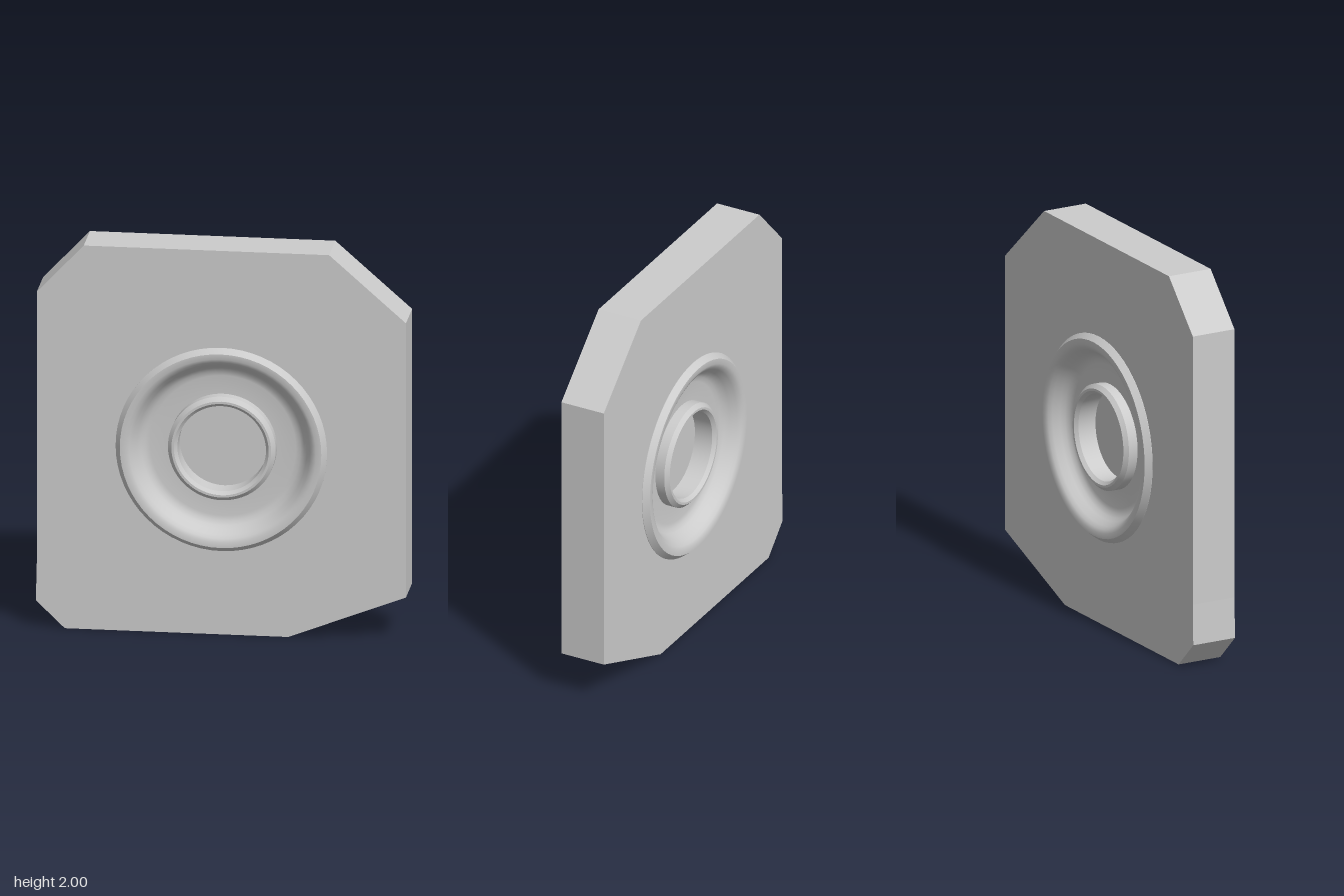
import * as THREE from 'three';
import { toCreasedNormals } from 'three/addons/utils/BufferGeometryUtils.js';

const HUB_Y = 0.965;      // height of the round centre
const HALF = 0.12;        // half the thickness of the slab

// Turns [radius, z] points, listed from the outside in, about the z axis
function turned(profile) {
  const points = profile.map(([r, z]) => new THREE.Vector2(r, z));
  const geometry = new THREE.LatheGeometry(points, 64);
  geometry.rotateX(Math.PI / 2);
  return toCreasedNormals(geometry, 0.5);
}

export function createModel() {
  const group = new THREE.Group();
  const material = new THREE.MeshStandardMaterial({ color: 0xcccccc });

  const add = (parent, name, geometry) => {
    const mesh = new THREE.Mesh(geometry, material);
    mesh.name = name;
    parent.add(mesh);
    return mesh;
  };

  // Slab with unevenly cut corners and a round opening
  const outline = [
    [-0.785, 0], [0.335, 0], [0.925, 0.23], [0.925, 1.66], [0.54, 2],
    [-0.69, 2], [-0.925, 1.75], [-0.925, 0.35], [-0.93, 0.14],
  ].map(([x, y]) => new THREE.Vector2(x, y));
  const shape = new THREE.Shape(outline);
  shape.holes.push(new THREE.Path().absarc(0, HUB_Y, 0.525, 0, Math.PI * 2, true));
  const slab = new THREE.ExtrudeGeometry(shape, { depth: HALF * 2, bevelEnabled: false, curveSegments: 64 });
  slab.translate(0, 0, -HALF);
  add(group, 'slab', slab);

  // Same turned recess on the front and the back
  for (const [name, turn] of [['frontRecess', 0], ['backRecess', Math.PI]]) {
    const recess = new THREE.Group();
    recess.name = name;
    recess.position.y = HUB_Y;
    recess.rotation.y = turn;
    group.add(recess);

    // Bevelled raised rim running down into a rounded dish
    add(recess, 'rimAndDish', turned([
      [0.53, 0.115], [0.53, 0.122], [0.505, 0.152], [0.478, 0.152],
      [0.46, 0.143], [0.445, 0.127], [0.425, 0.095], [0.41, 0.075],
      [0.39, 0.06], [0.365, 0.055], [0.265, 0.055],
    ]));

    // Hub collar with both edges bevelled, around a sunken disc
    add(recess, 'hubCollar', turned([
      [0.27, 0.05], [0.27, 0.105], [0.25, 0.125], [0.238, 0.125],
      [0.222, 0.108], [0.222, 0.01],
    ]));
    const disc = add(recess, 'hubDisc', new THREE.CircleGeometry(0.224, 64));
    disc.position.z = 0.01;
  }

  return group;
}
